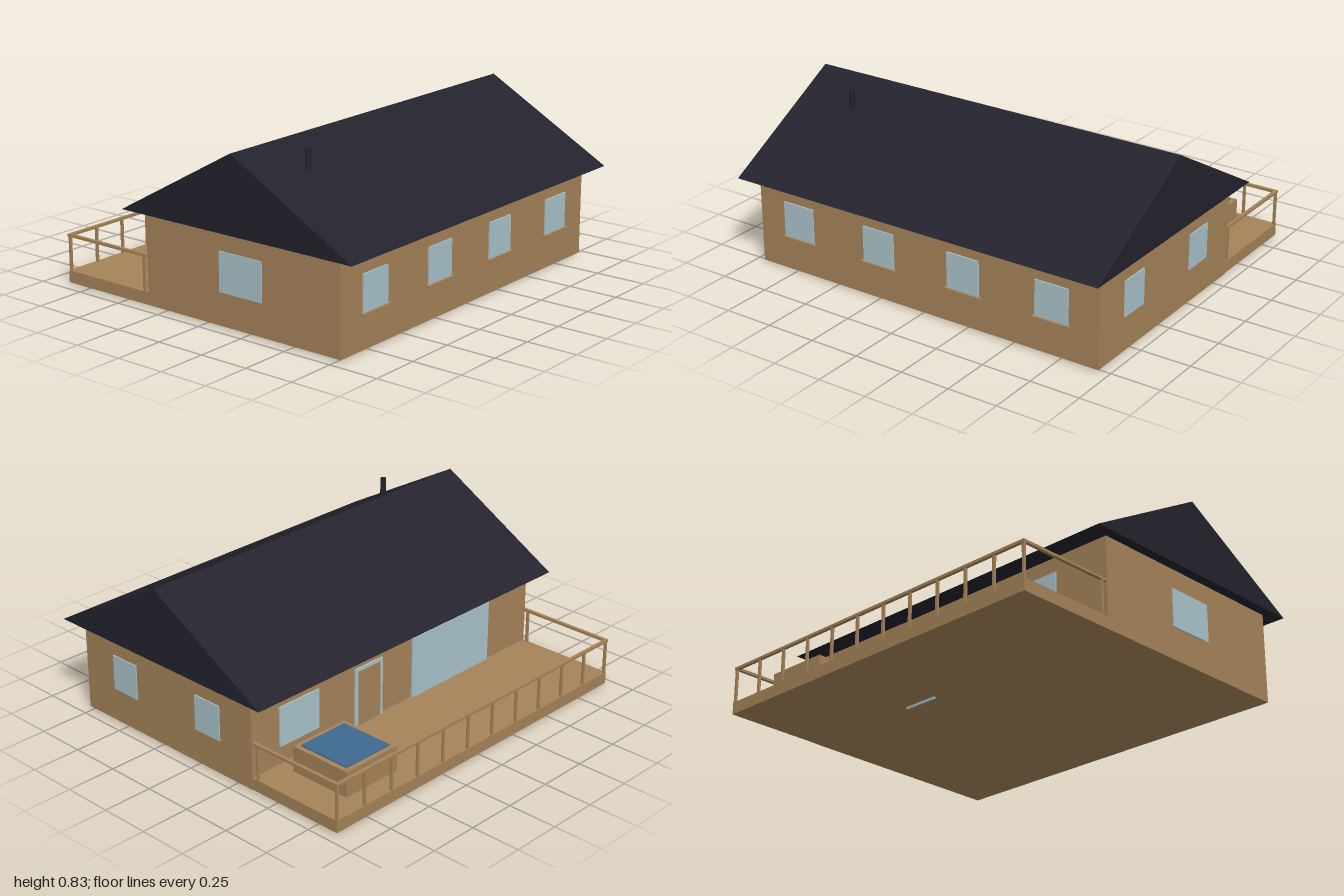
import * as THREE from 'three';

const mat = (name, color) => {
  const m = new THREE.MeshStandardMaterial({ color });
  m.name = name;
  return m;
};

export function createModel() {
  const house = new THREE.Group();
  house.name = 'house';
  const wood = mat('wood', 0xa58359);
  const slate = mat('roofSlate', 0x23222d);
  const glass = mat('glass', 0xa9c3ca);
  const water = mat('water', 0x3f6a90);

  // Box given by its lower and upper limits on each axis
  const box = (name, material, [x0, x1], [y0, y1], [z0, z1], parent = house) => {
    const mesh = new THREE.Mesh(new THREE.BoxGeometry(x1 - x0, y1 - y0, z1 - z0), material);
    mesh.position.set((x0 + x1) / 2, (y0 + y1) / 2, (z0 + z1) / 2);
    mesh.name = name;
    parent.add(mesh);
    return mesh;
  };

  // Walls and terrace floor
  box('walls', wood, [-0.95, 0.95], [0.01, 0.465], [-0.352, 0.77]);
  box('terraceFloor', wood, [-0.95, 0.947], [0.01, 0.07], [-0.87, -0.352]);

  // Solid gable roof, ridge along x
  const gable = new THREE.Shape();
  gable.moveTo(-0.868, 0.46);
  gable.lineTo(0.456, 0.46);
  gable.lineTo(-0.205, 0.83);
  gable.closePath();
  const roofGeometry = new THREE.ExtrudeGeometry(gable, { depth: 2, bevelEnabled: false });
  roofGeometry.rotateY(Math.PI / 2).translate(-1, 0, 0);
  const roof = new THREE.Mesh(roofGeometry, slate);
  roof.name = 'roof';
  house.add(roof);

  // Stove pipe
  const pipe = new THREE.Mesh(new THREE.CylinderGeometry(0.015, 0.015, 0.14, 12), slate);
  pipe.position.set(-0.69, 0.75, 0.383);
  pipe.name = 'chimney';
  house.add(pipe);

  // Front windows with sills
  for (const x of [-0.715, -0.242, 0.233, 0.707]) {
    box('frontWindow', glass, [x - 0.087, x + 0.087], [0.18, 0.357], [0.77, 0.777]);
    box('windowSill', wood, [x - 0.1, x + 0.1], [0.17, 0.181], [0.77, 0.787]);
  }

  // Side windows
  for (const z of [0.49, -0.07])
    box('leftWindow', glass, [0.95, 0.956], [0.18, 0.357], [z - 0.08, z + 0.08]);
  box('rightWindow', glass, [-0.956, -0.95], [0.17, 0.36], [0.09, 0.335]);

  // Back window and sliding glass doors
  box('backWindow', glass, [0.53, 0.78], [0.16, 0.36], [-0.359, -0.352]);
  box('slidingDoor', glass, [-0.655, -0.382], [0.07, 0.385], [-0.359, -0.352]);
  box('slidingDoor', glass, [-0.378, -0.097], [0.07, 0.385], [-0.362, -0.352]);

  // Back door: glazed surround with a wooden leaf
  box('doorFrame', glass, [0.11, 0.295], [0, 0.365], [-0.36, -0.35]);
  box('doorLeaf', wood, [0.13, 0.275], [0.07, 0.35], [-0.364, -0.36]);

  // Hot tub
  box('tub', wood, [0.455, 0.78], [0.07, 0.198], [-0.767, -0.44]);
  box('tubWater', water, [0.48, 0.755], [0.198, 0.204], [-0.744, -0.465]);

  // Terrace railing
  const railing = new THREE.Group();
  railing.name = 'railing';
  house.add(railing);
  const railY = [0.237, 0.25];
  box('backRail', wood, [-0.95, 0.947], railY, [-0.872, -0.856], railing);
  const post = (x, z) =>
    box('railPost', wood, [x - 0.006, x + 0.006], [0.07, 0.238], [z - 0.006, z + 0.006], railing);
  for (let i = 0; i < 12; i++) post(-0.941 + (i * 1.88) / 11, -0.863);
  for (const x of [-0.942, 0.939]) {
    box('sideRail', wood, [x - 0.008, x + 0.008], railY, [-0.856, -0.352], railing);
    post(x, -0.38);
  }
  return house;
}
